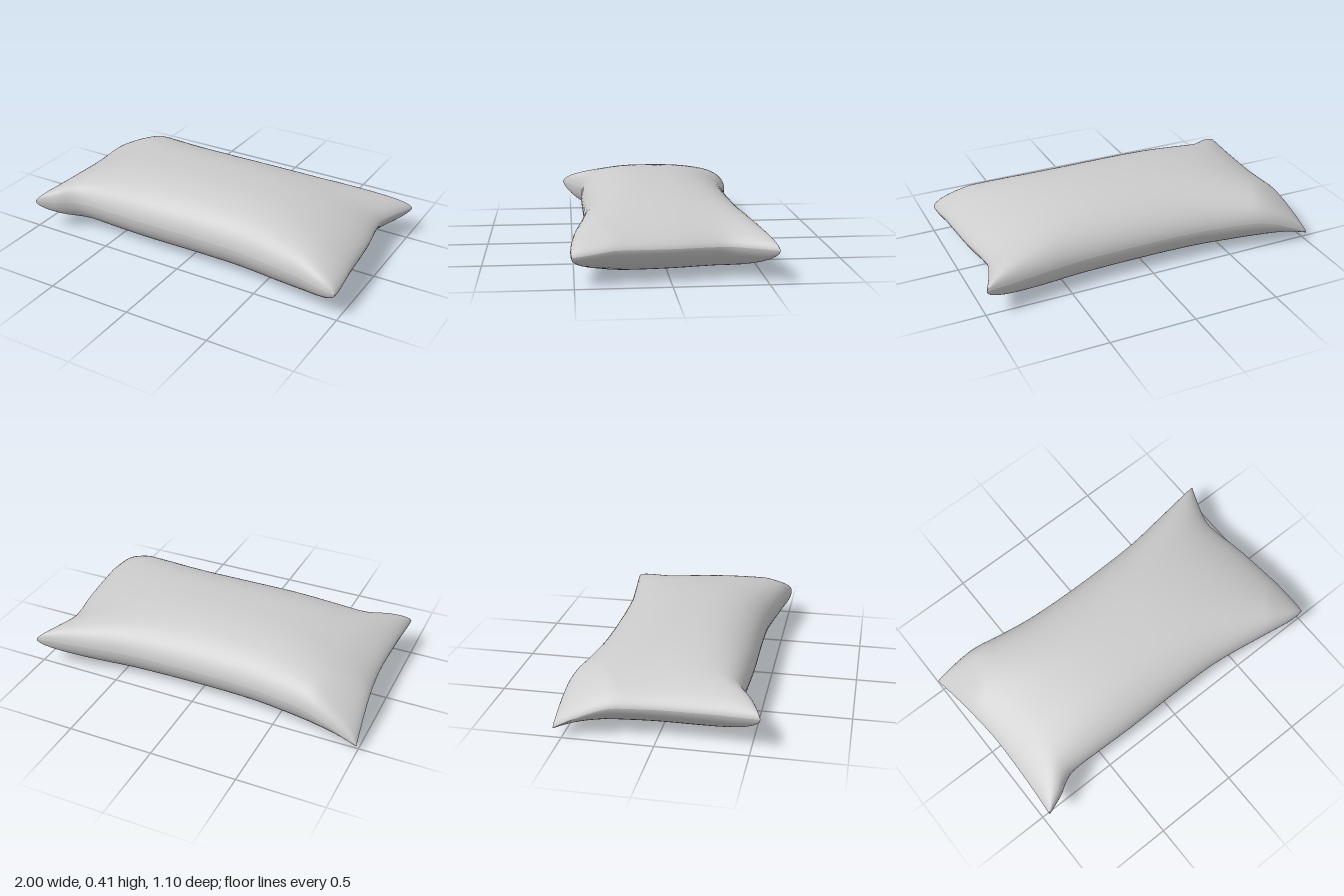
import * as THREE from 'three';

// Seam outline in plan, as [x, z] points
const seam = (pts) => new THREE.SplineCurve(pts.map(([x, z]) => new THREE.Vector2(x, z)));
const back = seam([[-1, -0.545], [-0.76, -0.535], [-0.56, -0.5], [-0.33, -0.47], [0, -0.46], [0.4, -0.47], [0.65, -0.5], [1, -0.55]]);
const front = seam([[-0.97, 0.548], [-0.85, 0.5], [-0.77, 0.452], [-0.67, 0.43], [-0.3, 0.437], [0.1, 0.434], [0.4, 0.446], [0.85, 0.513], [0.985, 0.512]]);
const left = seam([[1, -0.55], [0.918, -0.33], [0.918, -0.2], [0.95, 0], [0.985, 0.4], [0.985, 0.512]]);
const right = seam([[-1, -0.545], [-0.97, -0.25], [-0.95, 0], [-0.955, 0.3], [-0.97, 0.548]]);
const [c00, c10] = [back.getPoint(0), back.getPoint(1)];
const [c01, c11] = [front.getPoint(0), front.getPoint(1)];

// Plan position inside the four seam curves
function plan(s, t) {
  const b = back.getPointAt(s), f = front.getPointAt(s);
  const l = left.getPointAt(t), r = right.getPointAt(t);
  const mix = (k) => (1 - t) * b[k] + t * f[k] + (1 - s) * r[k] + s * l[k]
    - (1 - t) * ((1 - s) * c00[k] + s * c10[k]) - t * ((1 - s) * c01[k] + s * c11[k]);
  return [mix('x'), mix('y')];
}

// Seam height, with one drooping back corner and one slightly lowered front corner
function seamHeight(x, z) {
  const near = (cx, cz, r) => Math.max(0, 1 - Math.hypot(x - cx, z - cz) / r);
  return 0.19 + 0.016 * z - 0.126 * near(-1, -0.545, 0.33) ** 1.4 - 0.035 * near(0.985, 0.512, 0.22);
}

// Rounded fall-off towards the seam, and a blend that keeps the corners full
const swell = (u, p, e) => Math.max(0, 1 - Math.abs(u) ** p) ** e;
const blend = (f, g) => f * g / Math.sqrt(f * f + g * g - f * f * g * g + 1e-6);

function shell(isTop) {
  const NX = 56, NZ = 40, pos = [], idx = [];
  for (let j = 0; j <= NZ; j++) {
    for (let i = 0; i <= NX; i++) {
      // rows gather near the seam
      const u = -Math.cos(Math.PI * i / NX), v = -Math.cos(Math.PI * j / NZ);
      const [x, z] = plan((u + 1) / 2, (v + 1) / 2);
      const y = seamHeight(x, z);
      const h = isTop
        ? 0.224 * blend(swell(u, 2.5, 0.62), swell(v, v > 0 ? 2.8 : 2.3, 0.52))
        : -0.98 * y * blend(swell(u, 6, 0.65), swell(v, 4.5, 0.55));
      pos.push(x, y + h, z);
    }
  }
  for (let j = 0; j < NZ; j++) {
    for (let i = 0; i < NX; i++) {
      const a = j * (NX + 1) + i, b = a + 1, c = a + NX + 1, d = c + 1;
      if (isTop) idx.push(a, c, b, b, c, d);
      else idx.push(a, b, c, b, d, c);
    }
  }
  const g = new THREE.BufferGeometry();
  g.setAttribute('position', new THREE.Float32BufferAttribute(pos, 3));
  g.setIndex(idx);
  g.computeVertexNormals();
  return g;
}

export function createModel() {
  const group = new THREE.Group();
  group.name = 'pillow';
  const material = new THREE.MeshStandardMaterial({ color: 0xcccccc, side: THREE.DoubleSide });
  for (const isTop of [true, false]) {
    const mesh = new THREE.Mesh(shell(isTop), material);
    mesh.name = isTop ? 'topPanel' : 'bottomPanel';
    group.add(mesh);
  }
  return group;
}
